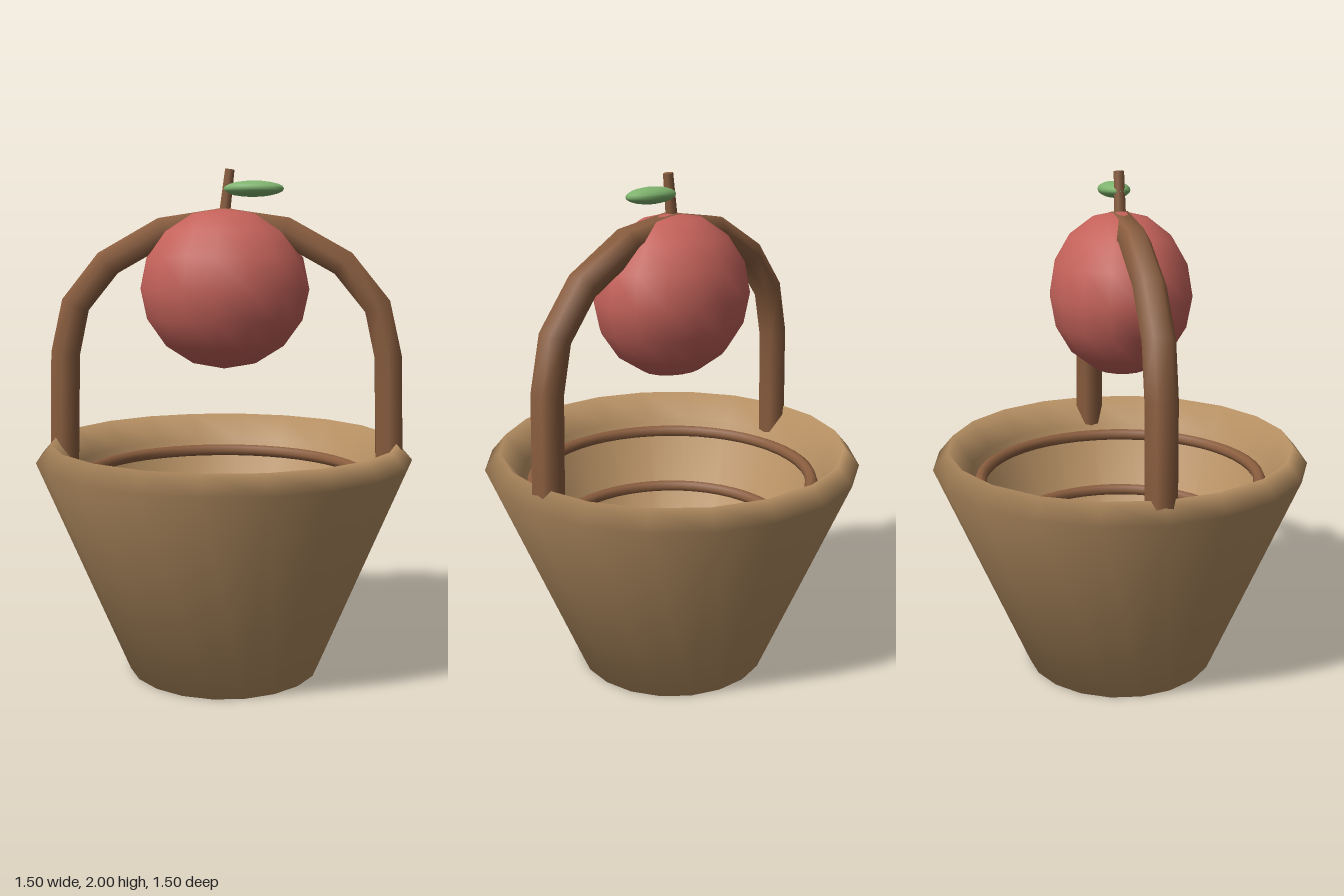
import * as THREE from 'three';

const mat = (name, color) => {
  const m = new THREE.MeshStandardMaterial({ color });
  m.name = name;
  return m;
};

export function createModel() {
  const tan = mat('wicker tan', 0xb89164);
  const brown = mat('wood brown', 0x8b5e3f);
  const red = mat('fruit red', 0xc4625a);
  const green = mat('leaf green', 0x7fb36e);

  const group = new THREE.Group();
  group.name = 'fruitBasket';
  const add = (name, geometry, material, x = 0, y = 0, z = 0) => {
    const mesh = new THREE.Mesh(geometry, material);
    mesh.name = name;
    mesh.position.set(x, y, z);
    group.add(mesh);
    return mesh;
  };

  // Thick-walled basket: outside, bevelled rim, then inside down to the floor
  const profile = [
    [0, 0], [0.39, 0], [0.75, 0.87], [0.69, 0.94], [0.61, 0.83], [0.28, 0.08], [0, 0.08],
  ].map(([r, y]) => new THREE.Vector2(r, y));
  add('basketBody', new THREE.LatheGeometry(profile, 20), tan);

  // Woven rings along the inner wall
  [[0.565, 0.79], [0.475, 0.555], [0.36, 0.32]].forEach(([r, y], i) => {
    const ring = new THREE.TorusGeometry(r, 0.025, 8, 48).rotateX(Math.PI / 2);
    add('innerRing' + (i + 1), ring, brown, 0, y);
  });

  // Arched handle: half the arch, mirrored, with one tube joint per point
  const half = [[0.66, 0.8], [0.655, 0.98], [0.645, 1.28], [0.6, 1.475], [0.465, 1.64], [0.24, 1.765]];
  const arch = [
    ...half.map(([x, y]) => new THREE.Vector3(-x, y, 0)),
    new THREE.Vector3(0, 1.8, 0),
    ...half.map(([x, y]) => new THREE.Vector3(x, y, 0)).reverse(),
  ];
  const curve = new THREE.CatmullRomCurve3(arch);
  curve.getPointAt = curve.getPoint;
  curve.getTangentAt = curve.getTangent;
  add('handle', new THREE.TubeGeometry(curve, arch.length - 1, 0.06, 6), brown);

  // Fruit hanging under the arch
  add('fruit', new THREE.SphereGeometry(1, 16, 8), red, 0, 1.54).scale.set(0.335, 0.315, 0.275);

  // Leaning stem and flat leaf
  add('stem', new THREE.CylinderGeometry(0.02, 0.024, 0.2, 6), brown, 0.01, 1.9).rotation.z = -0.12;
  add('leaf', new THREE.SphereGeometry(1, 16, 10), green, 0.113, 1.925).scale.set(0.12, 0.031, 0.06);

  return group;
}
